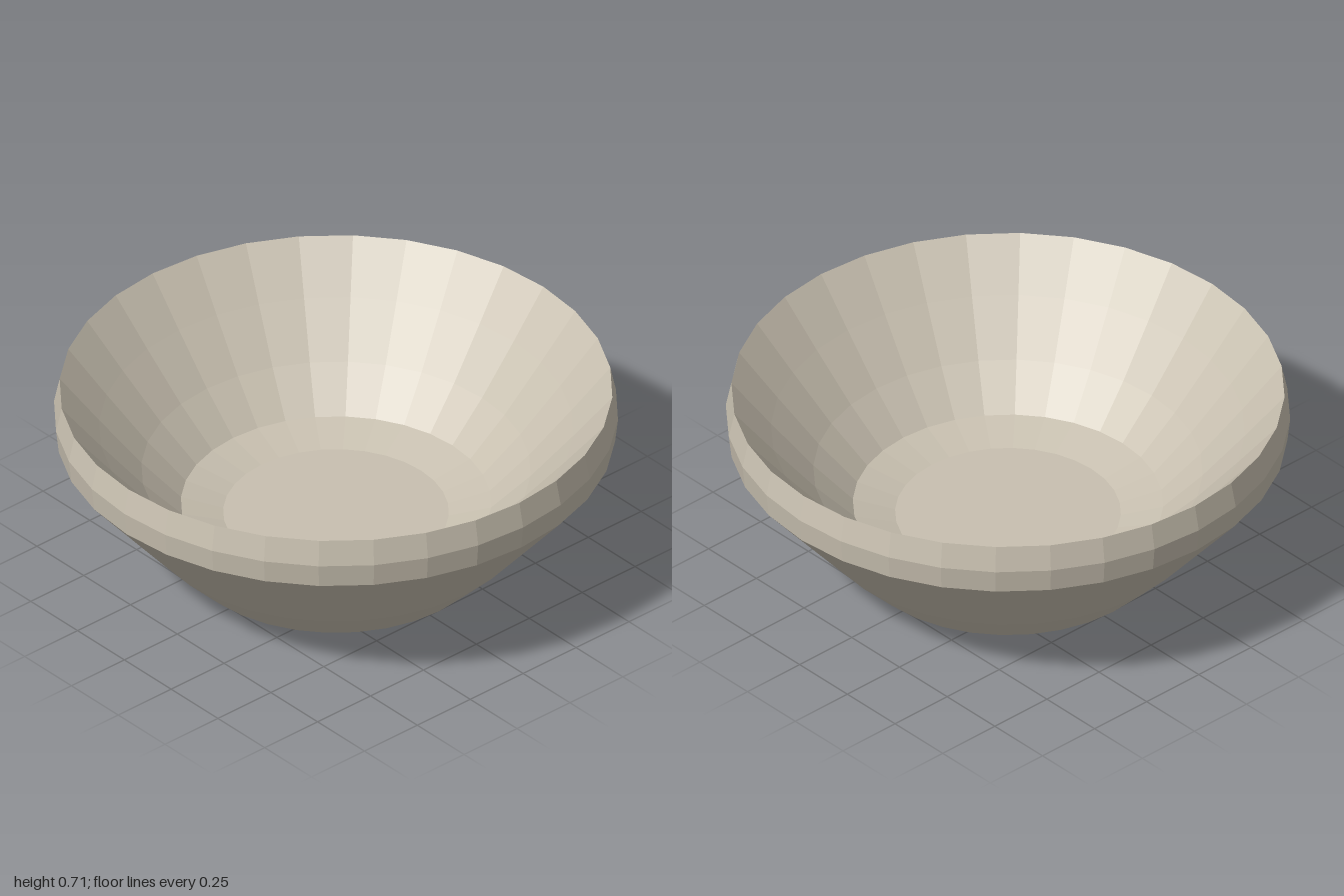
import * as THREE from 'three';

const SEGMENTS = 32;
const stoneware = new THREE.MeshStandardMaterial({ color: 0xc8c0b0, flatShading: true });
stoneware.name = 'warm grey stoneware';

// Faceted ring surface turned from [radius, height] pairs
function turned(name, profile) {
  const points = profile.map(([r, y]) => new THREE.Vector2(r, y));
  const mesh = new THREE.Mesh(new THREE.LatheGeometry(points, SEGMENTS), stoneware);
  mesh.name = name;
  return mesh;
}

export function createModel() {
  const bowl = new THREE.Group();
  bowl.name = 'bowl';

  // Wall profile, shared by the outside and the raised inside
  const wall = [[0, 0], [0.4, 0], [0.55, 0.04], [0.69, 0.18], [0.84, 0.355], [0.99, 0.53]];
  const lip = [0.98, 0.715];
  const inside = wall.slice(0, -1).map(([r, y]) => [r, y + 0.19]);

  bowl.add(
    turned('outerWall', wall),
    turned('rim', [[0.99, 0.53], [1, 0.62], lip]),
    // Runs from the lip down to the floor so that it faces inward
    turned('innerWall', [...inside, lip].reverse()),
  );
  return bowl;
}
